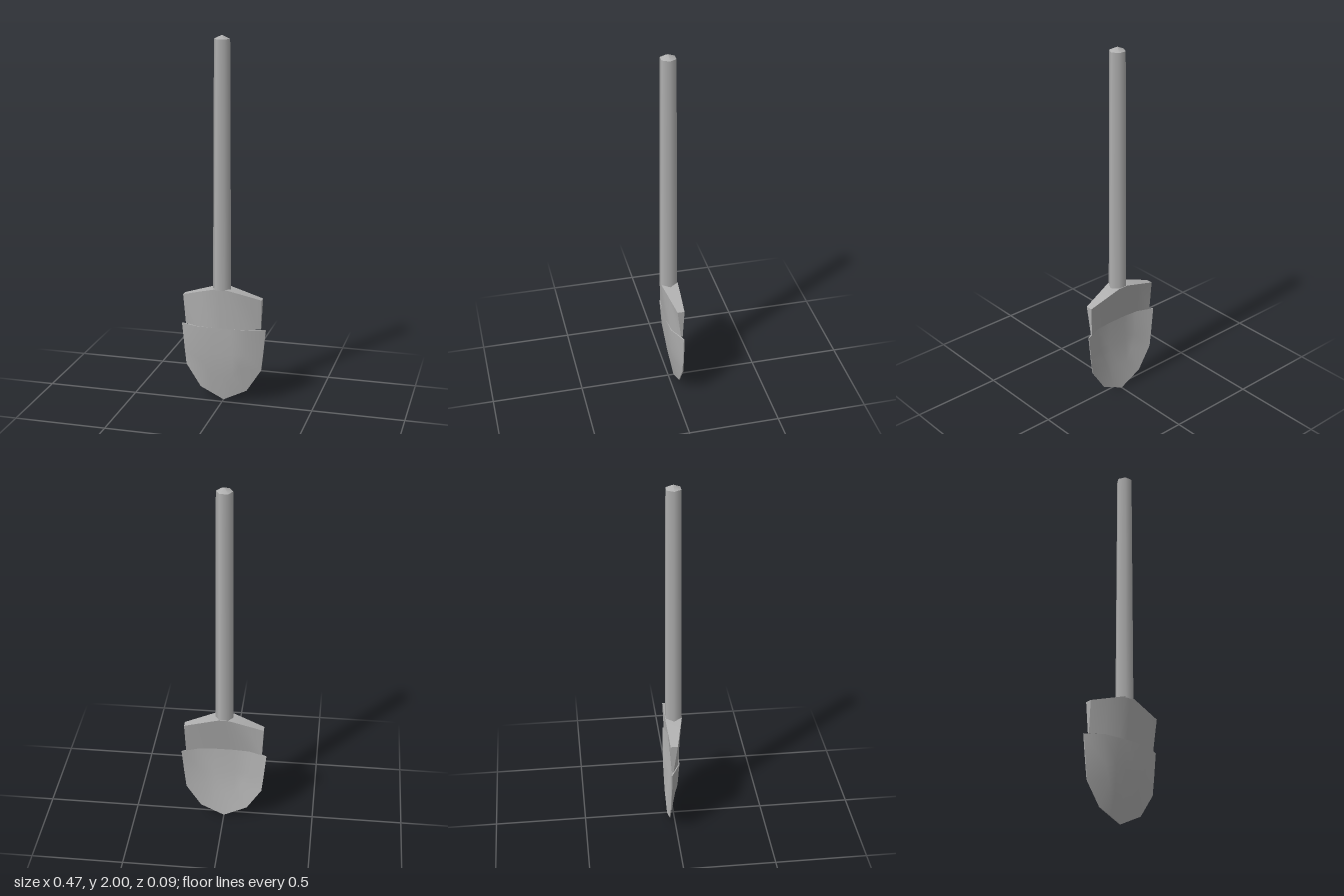
import * as THREE from 'three';
import { toCreasedNormals } from 'three/addons/utils/BufferGeometryUtils.js';

// Closed dished sheet from rows of half cross-sections [x, y, zFront, zBack], mirrored in x.
function dishedSheet(rows) {
  const grid = rows.map((row) => [
    ...row.slice(1).reverse().map(([x, y, f, b]) => [-x, y, f, b]),
    ...row,
  ]);
  const front = (r, c) => [grid[r][c][0], grid[r][c][1], grid[r][c][2]];
  const back = (r, c) => [grid[r][c][0], grid[r][c][1], grid[r][c][3]];
  const pos = [];
  const quad = (a, b, c, d) => pos.push(...a, ...b, ...c, ...a, ...c, ...d);
  const R = grid.length - 1, C = grid[0].length - 1;
  for (let r = 0; r < R; r++) {
    for (let c = 0; c < C; c++) {
      quad(front(r, c), front(r + 1, c), front(r + 1, c + 1), front(r, c + 1));
      quad(back(r, c + 1), back(r + 1, c + 1), back(r + 1, c), back(r, c));
    }
    // side walls
    quad(front(r, 0), back(r, 0), back(r + 1, 0), front(r + 1, 0));
    quad(front(r, C), front(r + 1, C), back(r + 1, C), back(r, C));
  }
  // top and bottom walls
  for (let c = 0; c < C; c++) {
    quad(front(0, c), front(0, c + 1), back(0, c + 1), back(0, c));
    quad(front(R, c), back(R, c), back(R, c + 1), front(R, c + 1));
  }
  const g = new THREE.BufferGeometry();
  g.setAttribute('position', new THREE.Float32BufferAttribute(pos, 3));
  return toCreasedNormals(g, 0.5);
}

export function createModel() {
  const group = new THREE.Group();
  const steel = new THREE.MeshStandardMaterial({ color: 0xb0b0b0 });
  steel.name = 'grey steel';
  const add = (name, geometry) => {
    const mesh = new THREE.Mesh(geometry, steel);
    mesh.name = name;
    group.add(mesh);
    return mesh;
  };

  // Tapered six-sided handle with a low pointed cap
  const handle = add('handle', new THREE.CylinderGeometry(0.043, 0.05, 1.33, 6, 1, true));
  handle.position.y = 1.315;
  handle.rotation.y = Math.PI / 6;
  const cap = add('handleCap', new THREE.ConeGeometry(0.043, 0.02, 6, 1, true));
  cap.position.y = 1.99;
  cap.rotation.y = Math.PI / 6;

  // Thick sloping shoulders, thinning down to the blade
  add('shoulders', dishedSheet([
    [[0, 0.655, 0.043, -0.047], [0.03, 0.655, 0.043, -0.047], [0.12, 0.629, 0.022, -0.043], [0.218, 0.6, 0, -0.038]],
    [[0, 0.43, 0.022, 0.004], [0.05, 0.43, 0.022, 0.004], [0.14, 0.43, 0.013, -0.003], [0.21, 0.43, -0.022, -0.031]],
  ]));

  // Wider dished blade, with a step at its upper corners and a pointed tip
  add('blade', dishedSheet([
    [[0, 0.43, 0.022, 0.004], [0.05, 0.43, 0.022, 0.004], [0.14, 0.43, 0.018, 0.002], [0.235, 0.425, -0.031, -0.036]],
    [[0, 0.28, 0.012, 0], [0.06, 0.28, 0.012, 0], [0.125, 0.28, 0.009, -0.003], [0.221, 0.28, -0.031, -0.036]],
    [[0, 0.145, -0.006, -0.014], [0.055, 0.145, -0.006, -0.014], [0.095, 0.205, -0.001, -0.01], [0.211, 0.19, -0.031, -0.036]],
    [[0, 0, -0.031, -0.036], [0.065, 0.032, -0.031, -0.036], [0.13, 0.064, -0.031, -0.036], [0.17, 0.126, -0.031, -0.036]],
  ]));

  return group;
}
